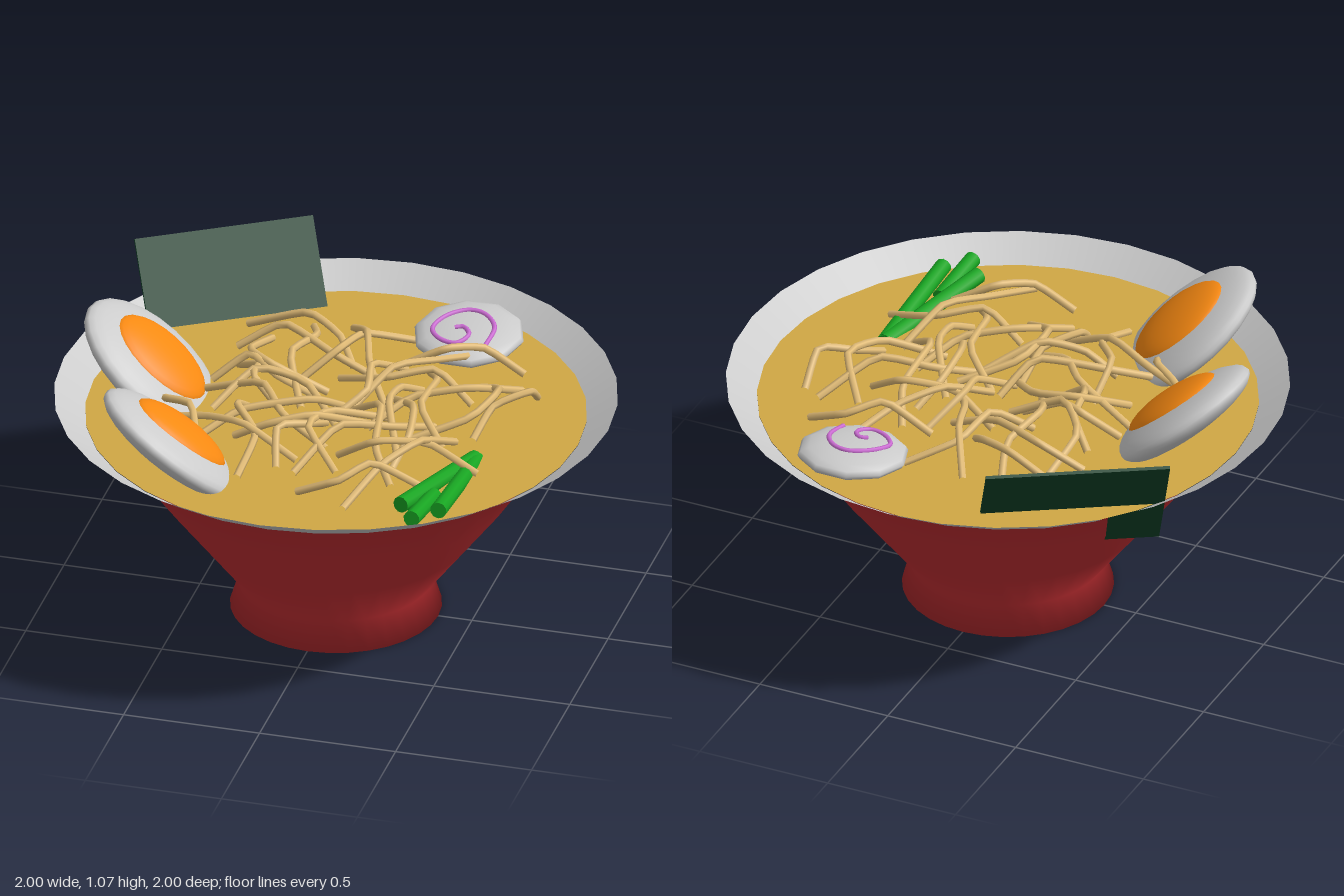
import * as THREE from 'three';

const SOUP_Y = 0.765;
const mat = (color, extra = {}) => new THREE.MeshStandardMaterial({ color, ...extra });
const grey = mat(0xcccccc);
const red = mat(0xc42f33);
const yolkOrange = mat(0xf98a12);
const noodleMat = mat(0xe3bd78);
const green = mat(0x18a522);

function part(parent, name, geometry, material) {
  const mesh = new THREE.Mesh(geometry, material);
  mesh.name = name;
  parent.add(mesh);
  return mesh;
}

const vec = (x, y, z) => new THREE.Vector3(x, y, z);

// Flattened sphere lying in the xz plane
function lens(a, b, c, w = 24, h = 16) {
  return new THREE.SphereGeometry(1, w, h).scale(a, b, c);
}

// Half egg tilted towards the middle of the bowl
function addEgg(parent, name, x, z, turn) {
  const egg = new THREE.Group();
  egg.name = name;
  part(egg, 'eggWhite', lens(0.31, 0.075, 0.255), grey);
  part(egg, 'eggYolk', lens(0.205, 0.055, 0.155), yolkOrange).position.set(0, 0.045, 0);
  egg.position.set(x, 0.86, z);
  egg.rotation.set(0, turn, -0.7, 'YXZ');
  parent.add(egg);
}

// One loose clump of noodles: x, z pairs in hundredths of a unit
const CLUMP = [
  [-33, -25, -10, -22, 4, -14, 12, -4],
  [28, -30, 12, -18, 8, 0, -4, 10],
  [-32, -8, -16, -12, 6, 0, 24, 2],
  [-10, -30, -4, -12, -8, 8, 2, 30],
  [30, -8, 22, 8, 24, 22, 14, 34],
  [-28, 4, -18, 14, -16, 28, -4, 34],
  [4, -32, 14, -14, 20, 4, 32, 24],
  [-22, -18, -24, 4, -12, 18, 8, 16],
];
const NOODLE_HEIGHTS = [0.78, 0.875, 0.845, 0.775];

function addNoodles(parent, x, z, turn) {
  const clump = new THREE.Group();
  clump.name = 'noodleClump';
  CLUMP.forEach((row, n) => {
    const points = NOODLE_HEIGHTS.map((_, i) => {
      const y = NOODLE_HEIGHTS[n % 2 ? 3 - i : i];
      return vec(row[2 * i] / 100, y, row[2 * i + 1] / 100);
    });
    const curve = new THREE.CatmullRomCurve3(points, false, 'catmullrom', 0.25);
    part(clump, 'noodle', new THREE.TubeGeometry(curve, 12, 0.014, 6), noodleMat);
  });
  clump.position.set(x, 0, z);
  clump.rotation.y = turn;
  parent.add(clump);
}

// Cylinder between two points
function addStalk(parent, a, b) {
  const dir = b.clone().sub(a);
  const stalk = part(parent, 'springOnion', new THREE.CylinderGeometry(0.03, 0.03, dir.length(), 10), green);
  stalk.position.copy(a).add(b).multiplyScalar(0.5);
  stalk.quaternion.setFromUnitVectors(vec(0, 1, 0), dir.normalize());
}

export function createModel() {
  const model = new THREE.Group();
  model.name = 'noodleSoupBowl';

  // Bowl body with a flared foot
  const profile = [[0, 0], [0.376, 0], [0.342, 0.11], [0.495, 0.31], [0.64, 0.5], [0.77, 0.69], [0.89, 0.765]];
  part(model, 'bowl', new THREE.LatheGeometry(profile.map(p => new THREE.Vector2(...p)), 32), red);

  // Thin flared rim
  const rim = [new THREE.Vector2(0.89, 0.765), new THREE.Vector2(1, 0.84)];
  part(model, 'rim', new THREE.LatheGeometry(rim, 32), mat(0xcccccc, { side: THREE.DoubleSide }));

  // Broth surface
  const soup = part(model, 'soup', new THREE.CircleGeometry(0.89, 32), mat(0xd0a845));
  soup.rotation.x = -Math.PI / 2;
  soup.position.y = SOUP_Y + 0.002;

  // Egg halves
  addEgg(model, 'backEgg', -0.67, 0.015, 0);
  addEgg(model, 'frontEgg', -0.45, 0.545, 0.5);

  // Seaweed sheet leaning out over the rim and through the wall
  const seaweed = part(model, 'seaweed', new THREE.BoxGeometry(0.655, 0.63, 0.012), mat(0x114228));
  seaweed.position.set(-0.525, 0.775, -0.58);
  seaweed.rotation.set(-0.63, 0.545, 0, 'YXZ');

  // Fish cake slice with a pink swirl
  const cake = new THREE.Group();
  cake.name = 'fishCake';
  part(cake, 'fishCakeSlice', lens(0.2, 0.05, 0.2, 10, 10), grey);
  const swirl = [[9, 11], [9.5, 0], [4, -7], [-2, -8], [-9, -3], [-12, 5], [-7, 11], [-1, 12], [2, 7], [-1, 3], [-4, 4]]
    .map(([x, z]) => {
      const r = Math.hypot(x, z) / 20;
      return vec(x / 100, 0.05 * Math.sqrt(1 - r * r) + 0.001, z / 100);
    });
  part(cake, 'fishCakeSwirl',
    new THREE.TubeGeometry(new THREE.CatmullRomCurve3(swirl), 48, 0.009, 6), mat(0xcf6fd6));
  cake.position.set(0.315, 0.8, -0.62);
  cake.rotation.x = 0.1;
  model.add(cake);

  // Noodles
  const clumps = [[-0.14, -0.27, 0], [0.35, -0.14, 2.1], [-0.25, 0.16, 4], [0.2, 0.29, 5.4]];
  clumps.forEach(c => addNoodles(model, ...c));

  // Spring onion stalks, back ends dipping into the broth
  addStalk(model, vec(0.56, 0.755, 0.17), vec(0.42, 0.8, 0.65));
  addStalk(model, vec(0.565, 0.75, 0.17), vec(0.56, 0.8, 0.655));
  addStalk(model, vec(0.5, 0.77, 0.5), vec(0.485, 0.8, 0.74));

  return model;
}
